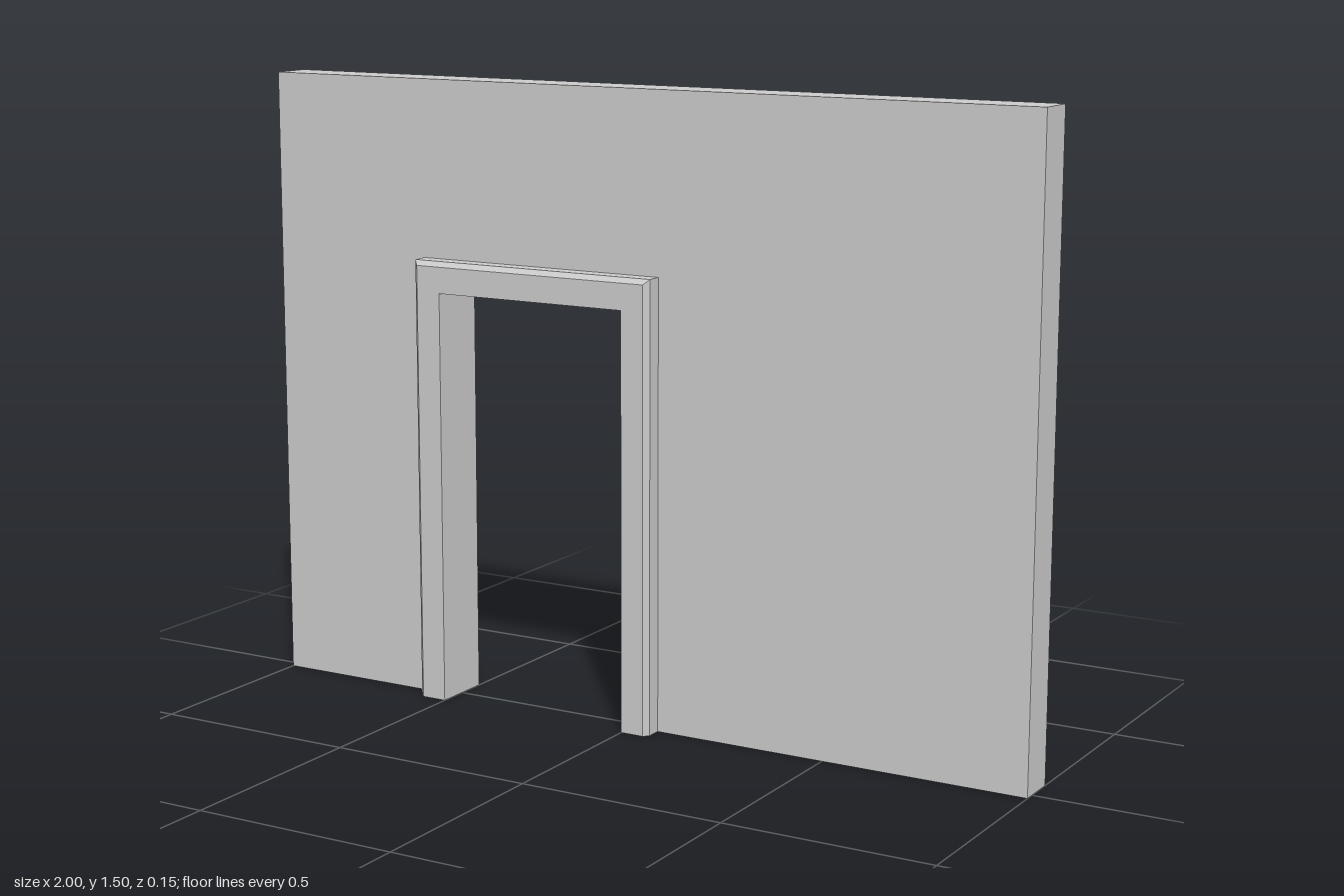
import * as THREE from 'three';

const material = new THREE.MeshStandardMaterial({ color: 0xcccccc, flatShading: true });

// Door opening and depth planes
const LEFT = -0.5, RIGHT = 0, HEAD = 1;
const BACK = -0.075, FACE = 0.025, FRONT = 0.075;

// Wall slab with a doorway open to the floor
function createWall() {
  const outline = [
    [-1, 0], [LEFT, 0], [LEFT, HEAD], [RIGHT, HEAD],
    [RIGHT, 0], [1, 0], [1, 1.5], [-1, 1.5],
  ].map(([x, y]) => new THREE.Vector2(x, y));
  const geometry = new THREE.ExtrudeGeometry(new THREE.Shape(outline), {
    depth: FACE - BACK, bevelEnabled: false,
  });
  geometry.translate(0, 0, BACK);
  const wall = new THREE.Mesh(geometry, material);
  wall.name = 'wall';
  return wall;
}

// Door casing: a chamfered section mitred round the opening
function createDoorFrame() {
  const bevel = 0.012, headWidth = 0.075, leftWidth = 0.075, rightWidth = 0.07;
  // Each point: share of casing width, inset from the outer edge, z
  const section = [
    [0, 0, FACE], [0, 0, FRONT], [1, bevel, FRONT], [1, 0, FRONT - bevel], [1, 0, FACE],
  ];
  const rings = [
    { x: LEFT, side: -1, width: leftWidth, top: false },
    { x: LEFT, side: -1, width: leftWidth, top: true },
    { x: RIGHT, side: 1, width: rightWidth, top: true },
    { x: RIGHT, side: 1, width: rightWidth, top: false },
  ].map(({ x, side, width, top }) => section.map(([share, inset, z]) => [
    x + side * (share * width - inset),
    top ? HEAD + share * headWidth - inset : 0,
    z,
  ]));

  const positions = [];
  const addFace = (...corners) => {
    for (let k = 1; k < corners.length - 1; k++) {
      positions.push(...corners[0], ...corners[k], ...corners[k + 1]);
    }
  };
  for (let i = 0; i < rings.length - 1; i++) {
    for (let j = 0; j < section.length - 1; j++) {
      addFace(rings[i][j], rings[i + 1][j], rings[i + 1][j + 1], rings[i][j + 1]);
    }
  }
  // Feet of the two jambs
  addFace(...rings[0]);
  addFace(...[...rings[3]].reverse());

  const geometry = new THREE.BufferGeometry();
  geometry.setAttribute('position', new THREE.Float32BufferAttribute(positions, 3));
  geometry.computeVertexNormals();
  const frame = new THREE.Mesh(geometry, material);
  frame.name = 'doorFrame';
  return frame;
}

export function createModel() {
  const model = new THREE.Group();
  model.name = 'wallWithDoorway';
  model.add(createWall(), createDoorFrame());
  return model;
}
